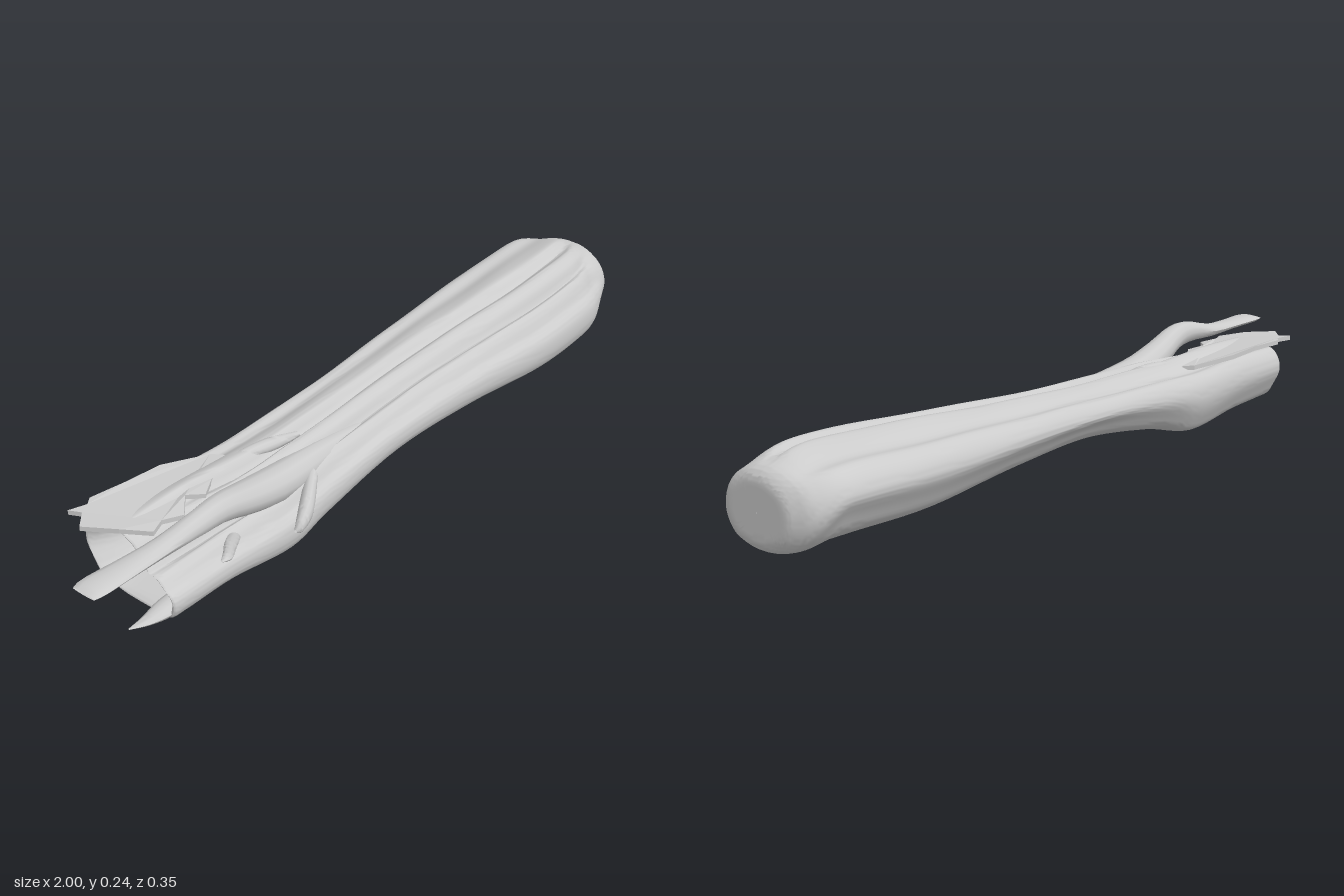
import * as THREE from 'three';
import { toCreasedNormals } from 'three/addons/utils/BufferGeometryUtils.js';

const material = new THREE.MeshStandardMaterial({ color: 0xcccccc, side: THREE.DoubleSide });
const { smoothstep, lerp } = THREE.MathUtils;

// Skins closed rings (arrays of [x, y, z]) ordered along +x; each ring runs from +z over the top to -z.
function loft(name, rings) {
  const n = rings[0].length, index = [];
  for (let i = 0; i < rings.length - 1; i++) {
    for (let j = 0; j < n; j++) {
      const a = i * n + j, b = i * n + (j + 1) % n;
      index.push(a, a + n, b, b, a + n, b + n);
    }
  }
  const geometry = new THREE.BufferGeometry();
  geometry.setAttribute('position', new THREE.Float32BufferAttribute(rings.flat(2), 3));
  geometry.setIndex(index);
  const mesh = new THREE.Mesh(toCreasedNormals(geometry, 0.7), material);
  mesh.name = name;
  return mesh;
}

// Smooth value of every column of a table at t in 0..1
function sampleRows(rows, t) {
  const f = t * (rows.length - 1), i = Math.min(Math.floor(f), rows.length - 2), k = f - i;
  const at = (r) => rows[Math.max(0, Math.min(rows.length - 1, r))];
  return rows[0].map((_, c) => {
    const [p, q, r, s] = [at(i - 1)[c], at(i)[c], at(i + 1)[c], at(i + 2)[c]];
    return q + 0.5 * k * (r - p + k * (2 * p - 5 * q + 4 * r - s + k * (3 * (q - r) + s - p)));
  });
}

// Tapering limb; rows are [x, y, z, half height, half depth] with x increasing
function limb(name, rows, sides = 12) {
  const rings = [];
  for (let i = 0; i <= 24; i++) {
    const [x, y, z, ry, rz] = sampleRows(rows, i / 24);
    rings.push(Array.from({ length: sides }, (_, j) => {
      const a = (j / sides) * Math.PI * 2;
      return [x, y + Math.sin(a) * ry, z + Math.cos(a) * rz];
    }));
  }
  return loft(name, rings);
}

// Ribbed body: one profile scaled along the length, flat underneath, hollow at the torn end
function buildBody() {
  // [across -1..1, up 0..1, groove depth]
  const profile = [
    [0.86, 0, 0], [0.93, 0.05, 0], [1, 0.2, 0], [1, 0.38, 0], [0.94, 0.5, 0], [0.84, 0.6, 0.04],
    [0.74, 0.7, 0], [0.62, 0.78, 0], [0.5, 0.84, 0.1], [0.38, 0.91, 0], [0.18, 0.98, 0],
    [0.02, 0.99, 0.12], [-0.14, 1, 0], [-0.36, 0.96, 0], [-0.6, 0.9, 0.04], [-0.8, 0.87, 0],
    [-0.95, 0.74, 0], [-1, 0.56, 0], [-0.96, 0.38, 0], [-0.84, 0.19, 0], [-0.7, 0.05, 0], [-0.4, 0, 0], [0.3, 0, 0],
  ];
  const loop = [...profile, profile[0]];
  // x, back z, front z, bottom, top, drop of the front shoulder, groove strength, tilt of the underside
  const rows = [
    [-0.5, -0.05, -0.03, 0.09, 0.1, 0.2, 0, 0],
    [-0.68, -0.11, 0.05, 0.06, 0.15, 0.25, 0, 0],
    [-0.77, -0.14, 0.095, 0.035, 0.18, 0.3, 0.2, 0.05],
    [-0.79, -0.155, 0.115, 0.02, 0.2, 0.3, 0.4, 0.1],
    [-0.74, -0.16, 0.12, 0.018, 0.205, 0.3, 0.6, 0.1],
    [-0.6, -0.16, 0.125, 0.016, 0.205, 0.28, 1, 0.06],
    [-0.42, -0.155, 0.145, 0.003, 0.195, 0.1, 1.3, 0],
    [-0.28, -0.148, 0.14, 0.025, 0.192, 0, 1.4, 0.1],
    [0, -0.145, 0.132, 0.052, 0.196, 0, 1.2, 0.2],
    [0.3, -0.16, 0.145, 0.043, 0.21, 0, 1, 0.18],
    [0.6, -0.175, 0.168, 0.018, 0.226, 0, 0.9, 0.15],
    [0.82, -0.176, 0.165, 0.016, 0.235, 0, 0.7, 0.18],
    [0.91, -0.17, 0.145, 0.018, 0.231, 0, 0.5, 0.18],
    [0.965, -0.145, 0.125, 0.02, 0.215, 0, 0.3, 0.1],
    [0.99, -0.11, 0.11, 0.028, 0.2, 0, 0.1, 0],
    [1, -0.08, 0.085, 0.05, 0.175, 0, 0, 0],
    [1, 0, 0.002, 0.11, 0.112, 0, 0, 0],
  ];
  const rings = [];
  const steps = (rows.length - 1) * 6, sides = 92;
  for (let i = 0; i <= steps; i++) {
    const [x, z0, z1, y0, y1, drop, groove, tilt] = sampleRows(rows, i / steps);
    // The sawn end becomes an oval, and the ribs drift forwards towards it
    const round = 0.85 * smoothstep(x, 0.89, 0.99);
    const drift = 0.16 * smoothstep(x, 0, 0.9);
    rings.push(Array.from({ length: sides }, (_, j) => {
      const [u, v, g] = sampleRows(loop, j / sides);
      const lowered = v * (1 - drop * smoothstep(u, -0.05, 0.5));
      // Slight waviness along the fibres
      const wave = 0.006 * Math.sin(x * 17 + u * 9) * v * Math.min(1, groove);
      const raised = tilt * smoothstep(-u, -0.1, 0.9) * (1 - smoothstep(v, 0.2, 0.75));
      const angle = Math.atan2(2 * v - 1, u);
      const across = u + drift * smoothstep(v, 0.5, 1) * Math.max(0, 1 - u * u);
      const up = Math.max(0, lowered - g * groove + wave + raised);
      const w = lerp(across, Math.cos(angle), round);
      const h = lerp(up, 0.5 + 0.5 * Math.sin(angle), round);
      return [Math.min(x, 1), y0 + (y1 - y0) * h, (z0 + z1) / 2 + w * (z1 - z0) / 2];
    }));
  }
  return loft('body', rings);
}

// Thin torn sheet over the back of the hollow end
function buildSheet() {
  const outline = [
    [-0.85, -0.1], [-0.81, -0.135], [-0.825, -0.165], [-0.78, -0.15], [-0.76, -0.165], [-0.66, -0.15], [-0.56, -0.145],
    [-0.44, -0.1], [-0.4, -0.05], [-0.52, -0.02], [-0.57, 0.01], [-0.61, -0.015], [-0.66, 0.03], [-0.71, 0.01],
    [-0.75, 0.025], [-0.8, -0.03],
  ];
  const shape = new THREE.Shape(outline.map(([x, z]) => new THREE.Vector2(x, -z)));
  const geometry = new THREE.ExtrudeGeometry(shape, { depth: 0.012, bevelEnabled: false });
  geometry.rotateX(-Math.PI / 2);
  const p = geometry.attributes.position;
  for (let i = 0; i < p.count; i++) {
    const x = p.getX(i), z = p.getZ(i);
    const lift = 0.04 * Math.max(0, -x - 0.65) - 0.12 * Math.max(0, x + 0.62) - 0.15 * Math.max(0, z + 0.04);
    p.setY(i, p.getY(i) + 0.193 + lift);
  }
  geometry.computeVertexNormals();
  const mesh = new THREE.Mesh(geometry, material);
  mesh.name = 'tornSheet';
  return mesh;
}

export function createModel() {
  const model = new THREE.Group();
  model.name = 'ribbedStalk';
  model.add(
    buildBody(),
    buildSheet(),
    // Long arm reaching past the hollow end
    limb('longArm', [
      [-1, 0.212, 0.075, 0.003, 0.032], [-0.97, 0.212, 0.075, 0.011, 0.038], [-0.88, 0.208, 0.078, 0.013, 0.033],
      [-0.78, 0.205, 0.082, 0.018, 0.028], [-0.68, 0.214, 0.092, 0.03, 0.029], [-0.6, 0.207, 0.086, 0.035, 0.034],
      [-0.5, 0.174, 0.074, 0.042, 0.042], [-0.38, 0.145, 0.064, 0.046, 0.046], [-0.22, 0.135, 0.06, 0.04, 0.035],
      [-0.05, 0.13, 0.06, 0.02, 0.015],
    ]),
    // Pointed splinter low on the end
    limb('lowSplinter', [
      [-0.89, 0.042, 0.075, 0.001, 0.002], [-0.84, 0.034, 0.078, 0.008, 0.016],
      [-0.78, 0.035, 0.08, 0.016, 0.028], [-0.68, 0.04, 0.08, 0.015, 0.025],
    ]),
    // Cut twigs on the front
    limb('frontSpur', [
      [-0.435, 0.075, 0.158, 0.004, 0.004], [-0.415, 0.084, 0.156, 0.02, 0.014],
      [-0.37, 0.105, 0.138, 0.028, 0.022], [-0.3, 0.14, 0.095, 0.014, 0.018],
    ]),
    limb('sideSpur', [
      [-0.69, 0.152, 0.17, 0.002, 0.004], [-0.66, 0.144, 0.158, 0.009, 0.014],
      [-0.61, 0.125, 0.12, 0.012, 0.018], [-0.55, 0.1, 0.08, 0.01, 0.015],
    ]),
    // Raised shred on the top
    limb('topShred', [
      [-0.44, 0.172, -0.05, 0.008, 0.012], [-0.38, 0.18, -0.035, 0.016, 0.018],
      [-0.3, 0.176, -0.02, 0.017, 0.018], [-0.23, 0.168, -0.01, 0.008, 0.008],
    ]),
  );
  return model;
}
